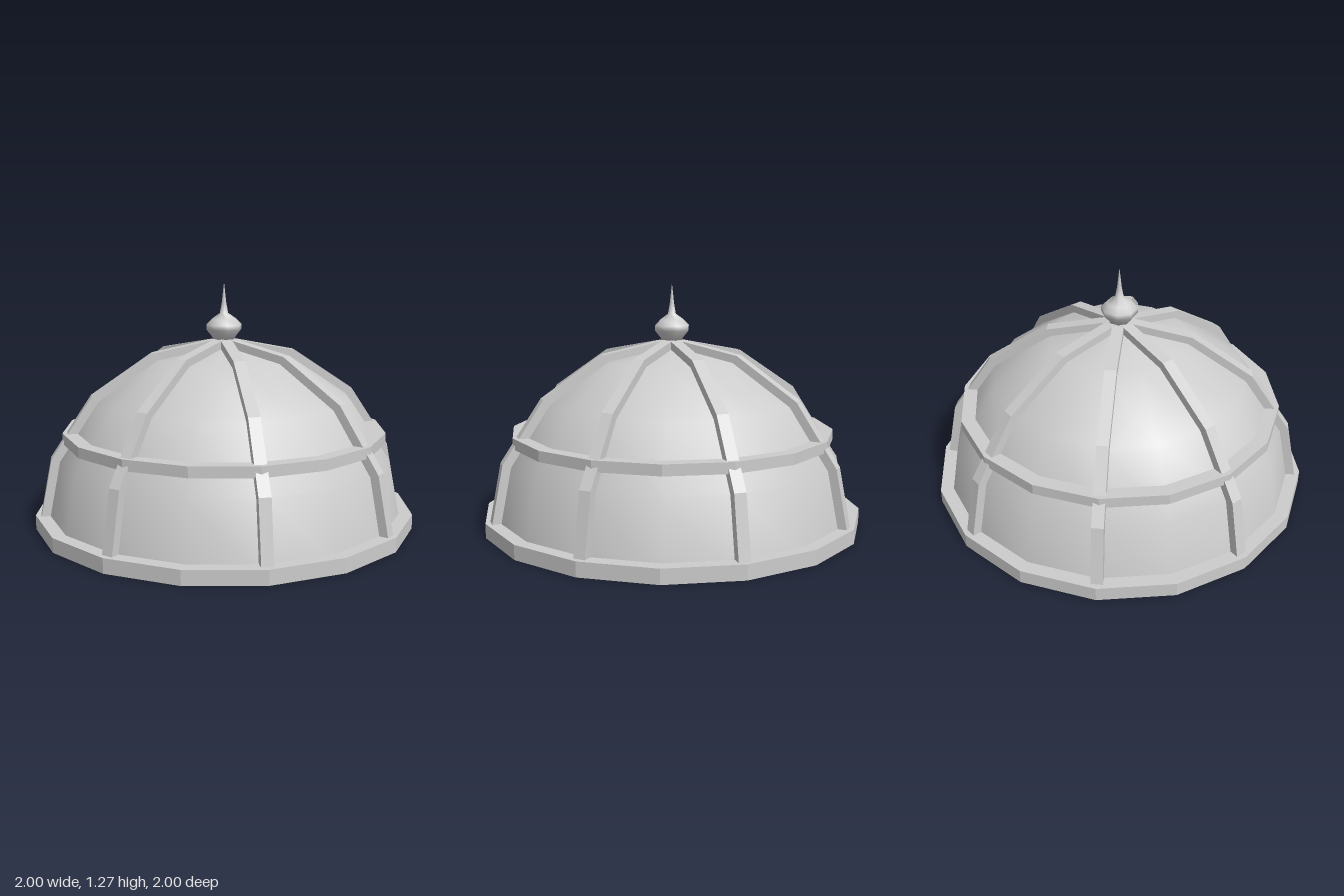
import * as THREE from 'three';

const SIDES = 16;

export function createModel() {
  const model = new THREE.Group();
  model.name = 'ribbedDome';

  const stone = new THREE.MeshStandardMaterial({ color: 0xcccccc });
  stone.name = 'pale grey';

  const add = (name, geometry, parent = model) => {
    const mesh = new THREE.Mesh(geometry, stone);
    mesh.name = name;
    parent.add(mesh);
    return mesh;
  };

  const lathe = (points, sides = SIDES) =>
    new THREE.LatheGeometry(points.map(([r, y]) => new THREE.Vector2(r, y)), sides);

  // Give every face its own flat normal
  const faceted = (geometry) => {
    const flat = geometry.toNonIndexed();
    flat.computeVertexNormals();
    return flat;
  };

  // Quarter arc from the base to the apex in steps of 22.5 degrees
  const arc = (radius) =>
    Array.from({ length: 5 }, (_, i) => {
      const a = (i * Math.PI) / 8;
      return [i === 4 ? 0 : radius * Math.cos(a), radius * Math.sin(a)];
    });

  // Smooth dome shell, outside and inside
  add('domeOuter', lathe(arc(0.945)));
  add('domeInner', lathe(arc(0.89).reverse()));

  // Flat-sided rings: profile runs anticlockwise
  const ring = (name, inner, outer, bottom, top) =>
    add(name, faceted(lathe([
      [inner, bottom], [outer, bottom], [outer, top], [inner, top], [inner, bottom],
    ])));
  ring('baseRing', 0.89, 1, 0, 0.075);
  ring('middleRing', 0.775, 0.85, 0.45, 0.505);

  // Four arches crossing at the apex make eight ribs
  const halfTurn = (radius) => {
    const quarter = arc(radius);
    const mirrored = quarter.slice(0, 4).reverse().map(([x, y]) => [-x, y]);
    return [...quarter, ...mirrored];
  };
  const outline = [...halfTurn(0.985), ...halfTurn(0.925).reverse()];
  const ribShape = new THREE.Shape(outline.map(([x, y]) => new THREE.Vector2(x, y)));
  const ribGeometry = new THREE.ExtrudeGeometry(ribShape, { depth: 0.06, bevelEnabled: false });
  ribGeometry.translate(0, 0, -0.03);
  const ribs = new THREE.Group();
  ribs.name = 'ribs';
  model.add(ribs);
  for (let i = 0; i < 4; i++) {
    add('ribArch', ribGeometry, ribs).rotation.y = (i * Math.PI) / 4;
  }

  // Onion-shaped finial with a spike
  add('finial', lathe([
    [0, 0.96], [0.055, 0.97], [0.065, 0.99], [0.094, 1.025], [0.094, 1.05],
    [0.065, 1.08], [0.022, 1.11], [0.012, 1.165], [0, 1.27],
  ], 8));

  return model;
}
